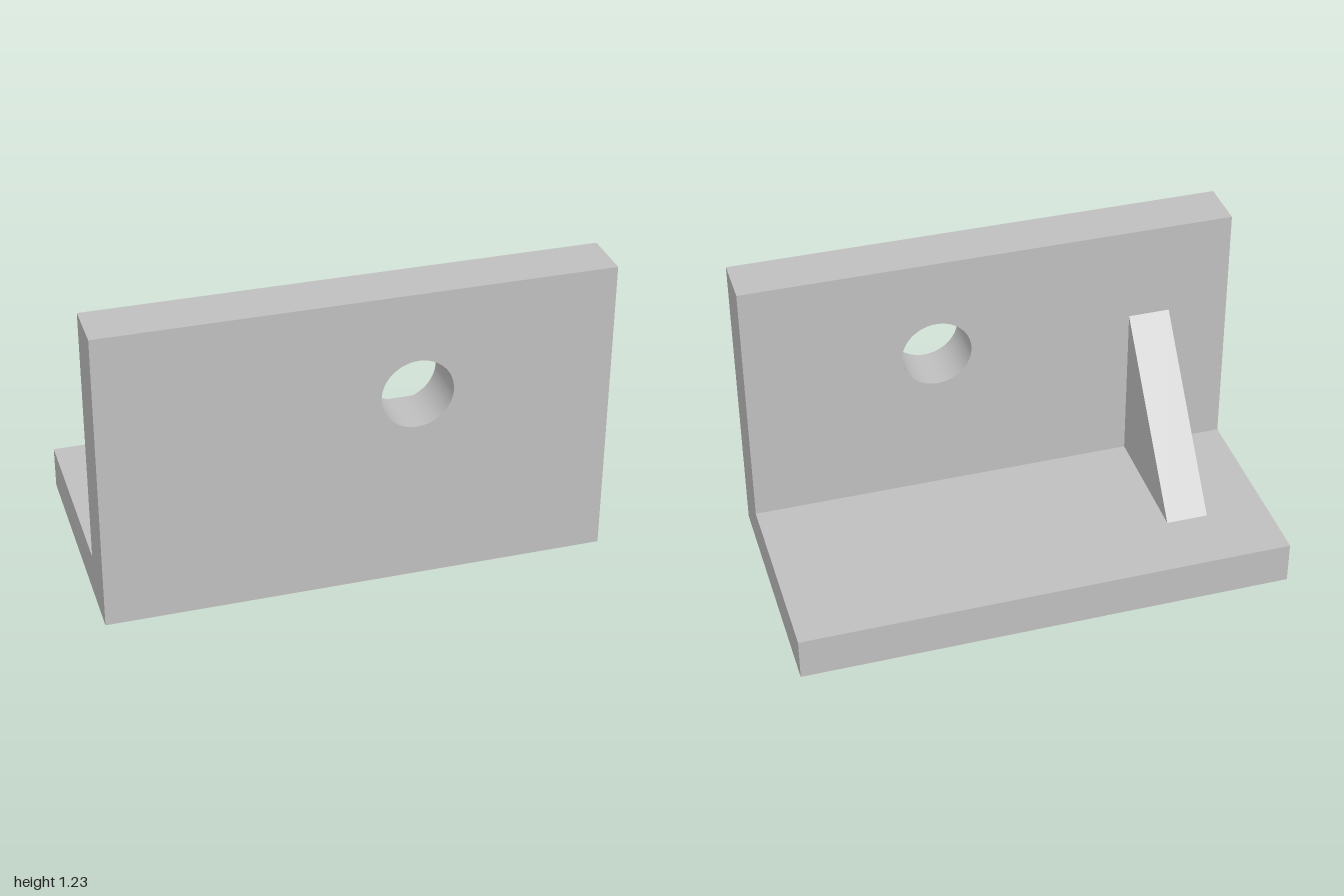
import * as THREE from 'three';

const WIDTH = 2, HEIGHT = 1.23, BASE_H = 0.175;
const FRONT = 0.51, WALL_BACK = 0.3, BACK = -0.51;

export function createModel() {
  const group = new THREE.Group();
  group.name = 'angleBracket';
  const grey = new THREE.MeshStandardMaterial({ color: 0xbfbfbf });
  grey.name = 'grey';

  const add = (name, geometry) => {
    const mesh = new THREE.Mesh(geometry, grey);
    mesh.name = name;
    group.add(mesh);
    return mesh;
  };

  // Upright wall with a round through hole
  const wall = new THREE.Shape([
    new THREE.Vector2(-WIDTH / 2, 0),
    new THREE.Vector2(WIDTH / 2, 0),
    new THREE.Vector2(WIDTH / 2, HEIGHT),
    new THREE.Vector2(-WIDTH / 2, HEIGHT),
  ]);
  wall.holes.push(new THREE.Path().absarc(0.225, 0.81, 0.142, 0, Math.PI * 2, true));
  add('wall', new THREE.ExtrudeGeometry(wall, {
    depth: FRONT - WALL_BACK, bevelEnabled: false, curveSegments: 64,
  })).position.z = WALL_BACK;

  // Flat base running back from the wall
  add('base', new THREE.BoxGeometry(WIDTH, BASE_H, WALL_BACK - BACK))
    .position.set(0, BASE_H / 2, (WALL_BACK + BACK) / 2);

  // Triangular rib, drawn in (z, y) and extruded towards -x
  const rib = new THREE.Shape([
    new THREE.Vector2(-0.235, BASE_H),
    new THREE.Vector2(WALL_BACK, BASE_H),
    new THREE.Vector2(WALL_BACK, 0.835),
  ]);
  const ribGeometry = new THREE.ExtrudeGeometry(rib, { depth: 0.17, bevelEnabled: false });
  ribGeometry.rotateY(-Math.PI / 2);
  add('supportRib', ribGeometry).position.x = -0.58;

  return group;
}
